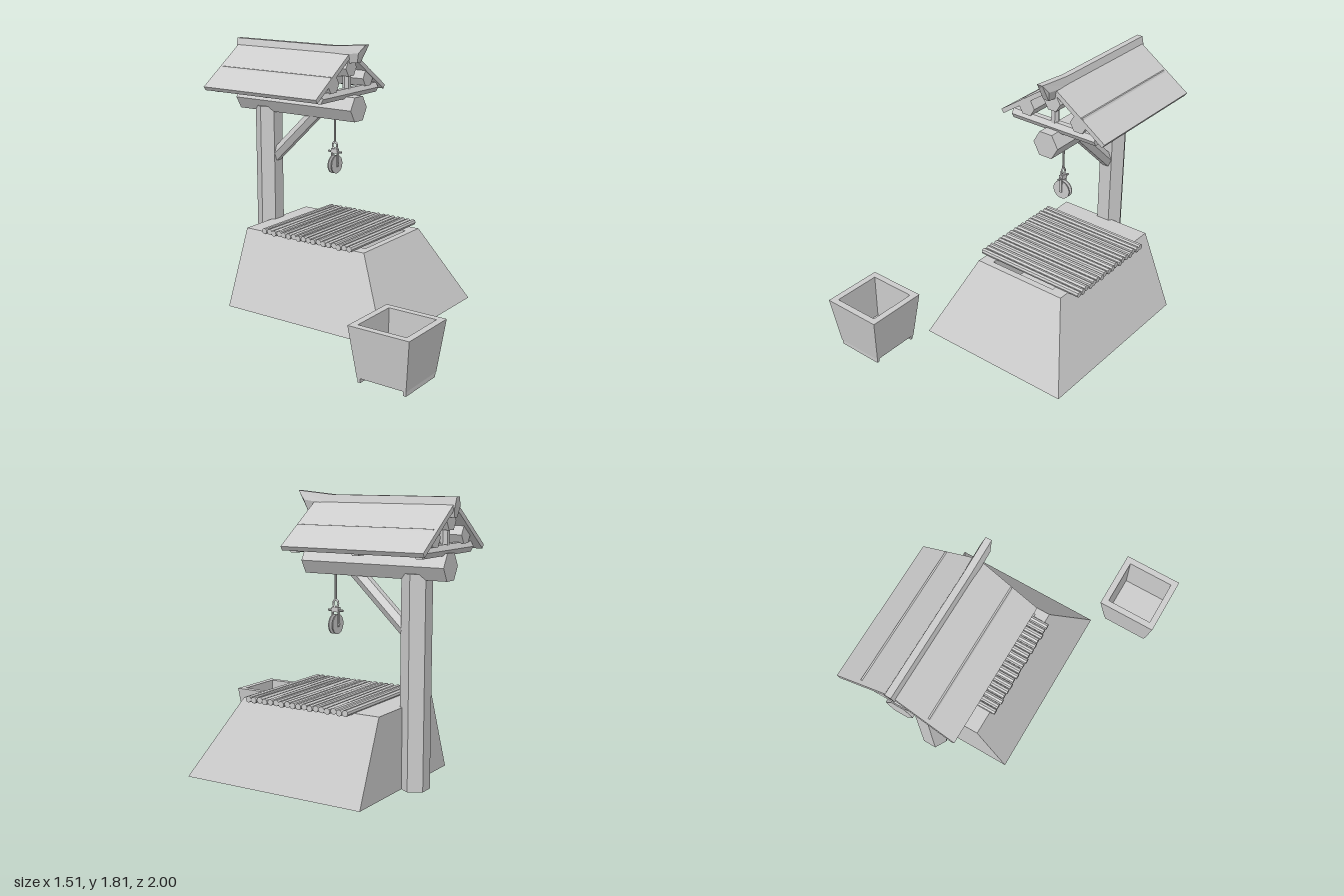
import * as THREE from 'three';

const V = (x, y, z) => new THREE.Vector3(x, y, z);
const CX = 0.21; // centre line of the well

export function createModel() {
  const root = new THREE.Group();
  root.name = 'well';
  const flat = new THREE.MeshStandardMaterial({ color: 0xcccccc, flatShading: true });
  const smooth = new THREE.MeshStandardMaterial({ color: 0xcccccc });

  function add(name, geo, parent = root, mat = flat) {
    const mesh = new THREE.Mesh(geo, mat);
    mesh.name = name;
    parent.add(mesh);
    return mesh;
  }
  function group(name) {
    const g = new THREE.Group();
    g.name = name;
    root.add(g);
    return g;
  }

  // Straight prism between two points
  function log(name, a, b, r, twist = Math.PI / 2, sides = 6, parent = root) {
    const geo = new THREE.CylinderGeometry(r, r, a.distanceTo(b), sides).rotateY(twist);
    const mesh = add(name, geo, parent);
    mesh.position.copy(a).lerp(b, 0.5);
    mesh.quaternion.setFromUnitVectors(V(0, 1, 0), b.clone().sub(a).normalize());
    return mesh;
  }

  // Skin over a list of rings, closed at both ends
  function loft(rings) {
    const pos = [];
    const tri = (...pts) => pts.forEach((p) => pos.push(p.x, p.y, p.z));
    const n = rings[0].length;
    for (let k = 0; k + 1 < rings.length; k++) {
      for (let i = 0; i < n; i++) {
        const j = (i + 1) % n, a = rings[k], b = rings[k + 1];
        tri(a[i], a[j], b[j], a[i], b[j], b[i]);
      }
    }
    const s = rings[0], e = rings[rings.length - 1];
    for (let i = 1; i + 1 < n; i++) {
      tri(s[0], s[i + 1], s[i]);
      tri(e[0], e[i], e[i + 1]);
    }
    const geo = new THREE.BufferGeometry();
    geo.setAttribute('position', new THREE.Float32BufferAttribute(pos, 3));
    geo.computeVertexNormals();
    return geo;
  }
  const rect = (x0, x1, z0, z1, y) => [V(x0, y, z1), V(x1, y, z1), V(x1, y, z0), V(x0, y, z0)];

  // Sloped base with an open shaft
  add('base', loft([
    rect(-0.32, 0.755, -0.69, 0.55, 0.05),
    rect(-0.115, 0.545, -0.69, 0.265, 0.55),
    rect(-0.03, 0.45, -0.5, 0.22, 0.55),
    rect(-0.03, 0.45, -0.5, 0.22, 0.3),
  ]));

  // Cover of round poles, each slightly out of line
  const cover = group('cover');
  for (let i = 0; i < 18; i++) {
    const z = 0.175 - i * 0.0403, w = Math.sin(i * 2.4) * 0.004;
    log('coverPole', V(-0.15 + w, 0.566 + w / 2, z), V(0.622 + w, 0.562 - w / 2, z), 0.02, i, 8, cover);
  }

  // Post, main beam and brace
  log('post', V(CX, 0.05, -0.747), V(CX, 1.345, -0.747), 0.092);
  log('mainBeam', V(CX, 1.39, -0.96), V(CX, 1.39, 0), 0.092);
  log('brace', V(CX, 0.96, -0.73), V(CX, 1.36, -0.31), 0.045);

  // Roof frame
  const frame = group('roofFrame');
  for (const z of [-0.095, -0.515, -0.92]) {
    log('crossTie', V(-0.1, 1.488, z), V(0.525, 1.488, z), 0.037, 0, 6, frame);
    log('kingPost', V(CX, 1.5, z), V(CX, 1.63, z), 0.027, Math.PI / 2, 6, frame);
  }
  for (const [dx, y] of [[-0.195, 1.565], [0, 1.652], [0.195, 1.565]]) {
    log('purlin', V(CX + dx, y, -0.96), V(CX + dx, y, -0.06), 0.06, Math.PI / 2, 6, frame);
  }

  // Roof panels
  for (const side of [-1, 1]) {
    const len = 0.475, angle = 0.602;
    const geo = new THREE.BoxGeometry(len, 0.03, 0.93);
    geo.translate(len / 2, -0.015, 0).rotateZ(-angle);
    const panel = add('roofPanel', geo);
    panel.position.set(CX, 1.765, -0.52);
    if (side < 0) panel.rotation.y = Math.PI;
  }

  // Ridge cap with a raised front end; each ring gives [z, y] for top, middle, bottom
  const ridgeRing = (top, mid, low) => [
    [0.02, top], [-0.02, top], [-0.036, mid], [-0.02, low], [0.02, low], [0.036, mid],
  ].map(([dx, [z, y]]) => V(CX + dx, y, z));
  add('ridgeCap', loft([
    ridgeRing([-1, 1.788], [-0.995, 1.73], [-0.985, 1.672]),
    ridgeRing([-0.18, 1.788], [-0.18, 1.73], [-0.18, 1.672]),
    ridgeRing([0.065, 1.81], [0.02, 1.755], [0.0, 1.69]),
  ]));

  // Hanging pulley
  const PZ = -0.19;
  const pulley = group('pulley');
  log('rope', V(CX, 1.15, PZ), V(CX, 1.34, PZ), 0.007, 0, 8, pulley);
  const ring = add('hangingRing', new THREE.TorusGeometry(0.018, 0.006, 8, 20), pulley, smooth);
  ring.rotation.y = Math.PI / 2;
  ring.scale.y = 1.25;
  ring.position.set(CX, 1.127, PZ);
  add('pulleyHead', new THREE.BoxGeometry(0.025, 0.03, 0.05), pulley).position.set(CX, 1.09, PZ);
  log('crossPin', V(CX, 1.085, PZ - 0.053), V(CX, 1.085, PZ + 0.053), 0.007, 0, 8, pulley);
  for (const s of [-1, 1]) {
    add('pulleyStrap', new THREE.BoxGeometry(0.018, 0.1, 0.007), pulley).position.set(CX, 1.035, PZ + s * 0.0225);
  }
  log('axle', V(CX, 1, PZ - 0.027), V(CX, 1, PZ + 0.027), 0.009, 0, 10, pulley);
  const profile = [[0, -0.017], [0.061, -0.017], [0.061, -0.01], [0.022, -0.005],
    [0.022, 0.005], [0.061, 0.01], [0.061, 0.017], [0, 0.017]].map(([r, y]) => new THREE.Vector2(r, y));
  const wheel = add('pulleyWheel', new THREE.LatheGeometry(profile, 28), pulley);
  wheel.rotation.x = Math.PI / 2;
  wheel.position.set(CX, 1, PZ);

  // Square tub standing on two runners
  const tub = group('tub');
  const square = (h, y) => rect(-h, h, -h, h, y);
  add('tubBody', loft([square(0.166, 0.03), square(0.205, 0.355), square(0.162, 0.355), square(0.16, 0.045)]), tub);
  for (const s of [-1, 1]) {
    const z0 = s < 0 ? -0.163 : 0.145, z1 = z0 + 0.018;
    add('tubRunner', loft([rect(-0.16, 0.16, z0, z1, 0), rect(-0.164, 0.164, z0, z1, 0.035)]), tub);
  }
  tub.position.set(-0.555, 0, 0.795);

  return root;
}
